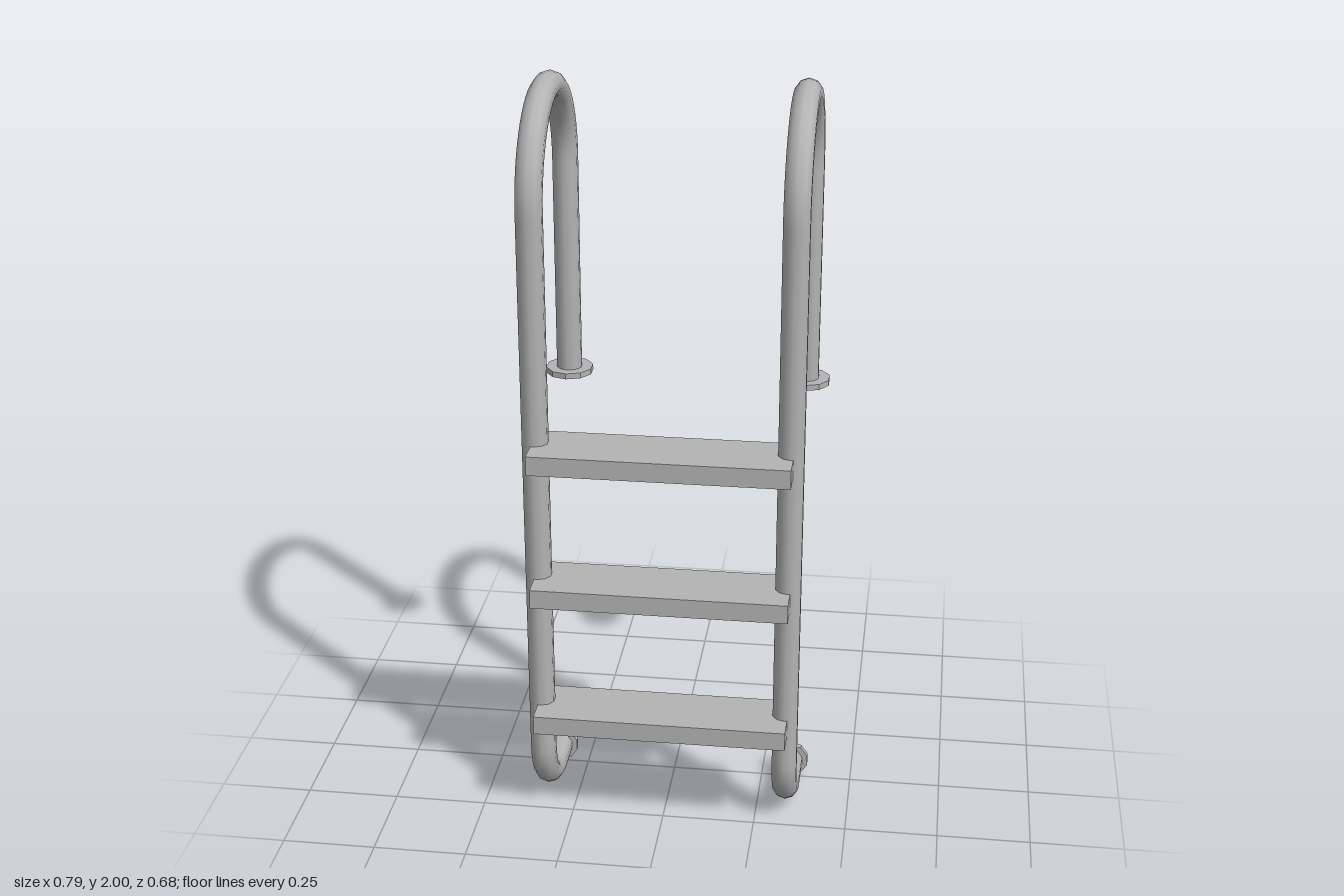
import * as THREE from 'three';

export function createModel() {
  const model = new THREE.Group();
  model.name = 'poolLadder';
  const steel = new THREE.MeshStandardMaterial({ color: 0xb4b4b4 });
  steel.name = 'grey steel';

  const add = (parent, name, geometry, x, y, z) => {
    const mesh = new THREE.Mesh(geometry, steel);
    mesh.name = name;
    mesh.position.set(x, y, z);
    parent.add(mesh);
    return mesh;
  };

  // Rail centre line in the (z, y) plane
  const p = (z, y) => new THREE.Vector3(0, y, z);
  const path = new THREE.CurvePath();
  const line = (a, b) => path.add(new THREE.LineCurve3(a, b));
  // Quarter circle from a to b, rounding the given corner
  const bend = (a, corner, b) => path.add(new THREE.CubicBezierCurve3(
    a, a.clone().lerp(corner, 0.5523), b.clone().lerp(corner, 0.5523), b));

  const front = 0.24, back = -0.272, mid = (front + back) / 2;
  const top = 1.965, shoulder = 1.709, foot = 0.05, r = 0.15;
  line(p(-0.01, foot), p(front - r, foot));
  bend(p(front - r, foot), p(front, foot), p(front, foot + r));
  line(p(front, foot + r), p(front, shoulder));
  bend(p(front, shoulder), p(front, top), p(mid, top));
  bend(p(mid, top), p(back, top), p(back, shoulder));
  line(p(back, shoulder), p(back, 1.1));
  const railGeometry = new THREE.TubeGeometry(path, 110, 0.035, 10, false);

  // Faceted ten-sided flange
  const flange = (radius, height) => {
    const g = new THREE.CylinderGeometry(radius, radius, height, 10).toNonIndexed();
    g.computeVertexNormals();
    return g;
  };
  const deckFlange = flange(0.066, 0.016);
  const wallFlange = flange(0.05, 0.016).rotateX(Math.PI / 2);

  // Two mirrored rails with their flanges
  for (const side of [-1, 1]) {
    const rail = new THREE.Group();
    rail.name = side > 0 ? 'leftRail' : 'rightRail';
    rail.position.x = side * 0.33;
    add(rail, 'handrail', railGeometry, 0, 0, 0);
    add(rail, 'deckFlange', deckFlange, 0, 1.103, -0.274);
    add(rail, 'wallPad', wallFlange, 0, foot, -0.011);
    model.add(rail);
  }

  // Steps
  const stepGeometry = new THREE.BoxGeometry(0.674, 0.052, 0.173);
  [0.315, 0.695, 1.075].forEach((y, i) => add(model, `step${i + 1}`, stepGeometry, 0, y, 0.2525));

  return model;
}
